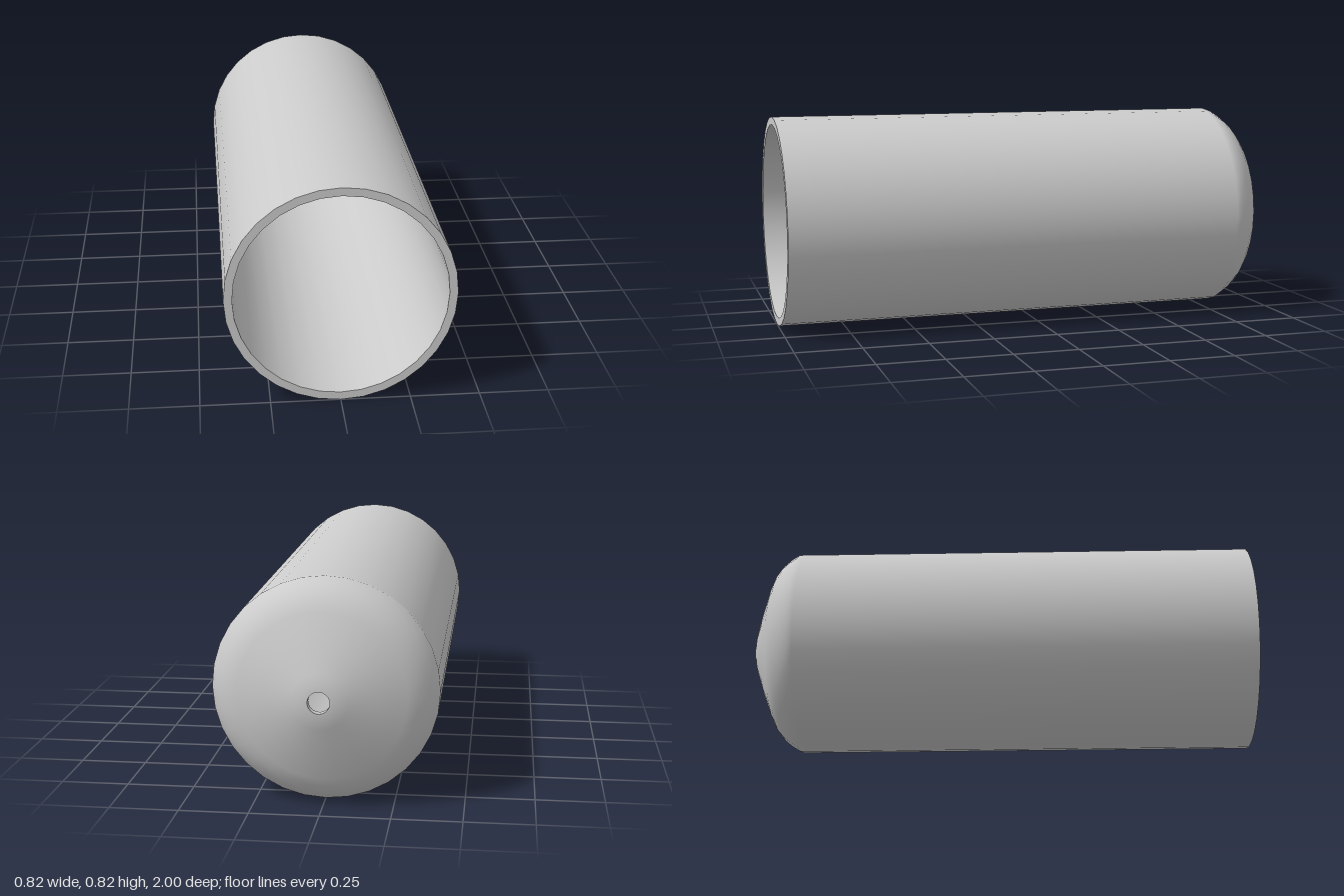
import * as THREE from 'three';

const SIDES = 32;
const R = 0.408;      // outer radius, also the height of the axis
const R_IN = 0.378;   // inner radius
const R_HOLE = 0.039; // hole in the domed end

export function createModel() {
  const group = new THREE.Group();
  group.name = 'domedTube';
  const material = new THREE.MeshStandardMaterial({ color: 0xcccccc });

  // Spins a profile of [radius, z] points around the lengthwise axis.
  // Each surface is its own lathe, so the edges between them stay sharp.
  function addSurface(name, profile) {
    const points = profile.map(([r, z]) => new THREE.Vector2(r, z));
    const geometry = new THREE.LatheGeometry(points, SIDES);
    geometry.rotateX(Math.PI / 2);
    const mesh = new THREE.Mesh(geometry, material);
    mesh.name = name;
    mesh.position.y = R;
    group.add(mesh);
  }

  // Outer shell: domed back end running into the straight wall
  addSurface('outerShell', [
    [R_HOLE, -1], [0.065, -0.998], [0.1, -0.988], [0.2, -0.954], [0.3, -0.915],
    [0.335, -0.897], [0.365, -0.873], [0.388, -0.845], [R, -0.812], [R, -0.79], [R, 1],
  ]);

  // Flat ring at the open front
  addSurface('frontRim', [[R, 1], [R_IN, 1]]);

  // Inner wall and the hollow side of the dome
  addSurface('innerShell', [
    [R_IN, 1], [R_IN, -0.78], [R_IN, -0.803], [0.362, -0.828], [0.342, -0.852],
    [0.315, -0.873], [0.288, -0.887], [0.19, -0.925], [0.1, -0.957], [0.065, -0.967], [R_HOLE, -0.97],
  ]);

  // Wall of the small hole through the dome
  addSurface('holeWall', [[R_HOLE, -0.97], [R_HOLE, -1]]);

  return group;
}
